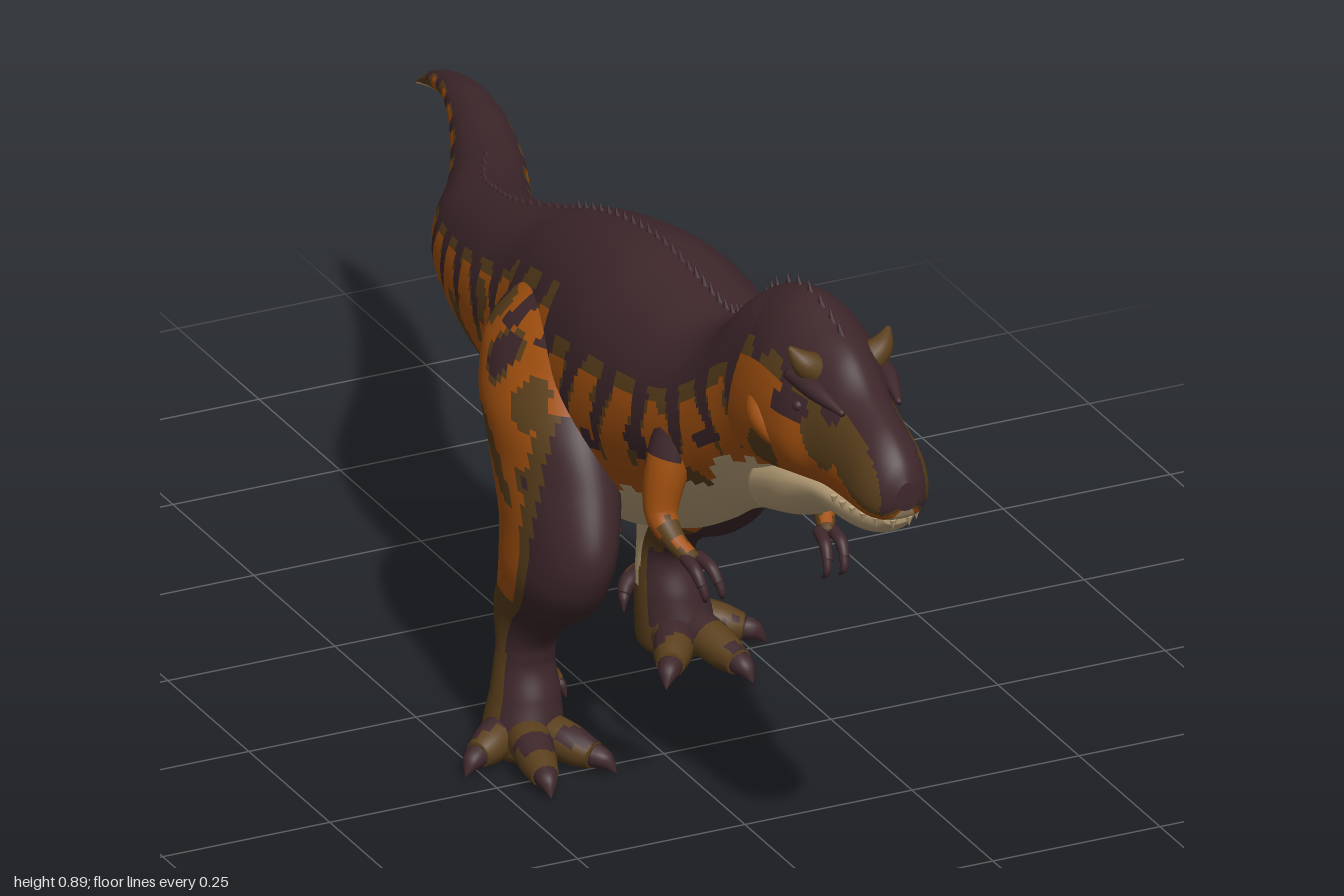
import * as THREE from 'three';

const mat = (name, color) => {
  const m = new THREE.MeshStandardMaterial({ color });
  m.name = name;
  return m;
};
const DARK = 0, ORANGE = 1, OLIVE = 2, BEIGE = 3;

// Smoothly sample a table of stations at u in 0..1, channel by channel
function sample(st, u) {
  const f = u * (st.length - 1), i = Math.min(Math.floor(f), st.length - 2), t = f - i;
  const g = k => st[Math.max(0, Math.min(st.length - 1, k))];
  return st[0].map((_, c) => {
    const [a, b, d, e] = [g(i - 1)[c], g(i)[c], g(i + 1)[c], g(i + 2)[c]];
    return b + 0.5 * t * (d - a + t * (2 * a - 5 * b + 4 * d - e + t * (3 * (b - d) + e - a)));
  });
}

// Skin a list of closed rings; pick(point, ring fraction, angle) chooses the colour of each face
function skin(name, rings, pick, mats) {
  const n = rings[0].length;
  const closed = r => {
    const c = r.reduce((s, p) => s.add(p), new THREE.Vector3()).divideScalar(n);
    return r.map(() => c.clone());
  };
  const all = [closed(rings[0]), ...rings, closed(rings[rings.length - 1])];
  const lists = mats.map(() => []);
  for (let i = 0; i < all.length - 1; i++) {
    for (let j = 0; j < n; j++) {
      const k = (j + 1) % n;
      const p = all[i][j].clone().add(all[i + 1][k]).multiplyScalar(0.5);
      const m = pick(p, i / (all.length - 1), (j + 0.5) / n * Math.PI * 2);
      const a = i * n + j, b = i * n + k;
      lists[m].push(a, b, a + n, b, b + n, a + n);
    }
  }
  const geo = new THREE.BufferGeometry().setFromPoints(all.flat());
  geo.setIndex(lists.flat());
  let start = 0;
  lists.forEach((l, m) => {
    if (l.length) geo.addGroup(start, l.length, m);
    start += l.length;
  });
  geo.computeVertexNormals();
  const mesh = new THREE.Mesh(geo, mats);
  mesh.name = name;
  return mesh;
}

const pow = (v, e) => Math.sign(v) * Math.abs(v) ** e;

// Cross-sections along z; station = [z, centre x, top, bottom, half width]
function loftRings(st, count, sides, mid, ex, exLow) {
  return Array.from({ length: count + 1 }, (_, i) => {
    const [z, cx, top, bot, hw] = sample(st, i / count);
    const my = bot + (top - bot) * mid;
    return Array.from({ length: sides }, (_, j) => {
      const a = j / sides * Math.PI * 2, s = Math.sin(a), c = Math.cos(a);
      return new THREE.Vector3(cx + hw * pow(s, c > 0 ? ex : exLow), my + (c > 0 ? top - my : my - bot) * c, z);
    });
  });
}

// Round tapering limb along points [x, y, z, radius]
function limbRings(pts, count = 14, sides = 14) {
  return Array.from({ length: count + 1 }, (_, i) => {
    const u = i / count, q = sample(pts, u);
    const a = sample(pts, Math.max(0, u - 0.01)), b = sample(pts, Math.min(1, u + 0.01));
    const t = new THREE.Vector3(b[0] - a[0], b[1] - a[1], b[2] - a[2]).normalize();
    const side = new THREE.Vector3(0.31, 0.17, 0.93).cross(t).normalize();
    const v = t.clone().cross(side);
    return Array.from({ length: sides }, (_, j) => {
      const w = j / sides * Math.PI * 2;
      return new THREE.Vector3(q[0], q[1], q[2]).addScaledVector(side, q[3] * Math.cos(w)).addScaledVector(v, q[3] * Math.sin(w));
    });
  });
}

const BODY = [
  [0.74, 0, 0.86, 0.58, 0.07], [0.68, 0, 0.872, 0.545, 0.083], [0.6, 0, 0.845, 0.515, 0.09],
  [0.53, 0, 0.78, 0.485, 0.104], [0.46, 0, 0.748, 0.44, 0.12], [0.36, 0, 0.755, 0.385, 0.135],
  [0.25, 0, 0.763, 0.34, 0.145], [0.14, 0, 0.75, 0.305, 0.14], [0.03, 0, 0.72, 0.31, 0.125],
  [-0.07, 0, 0.68, 0.345, 0.105], [-0.18, -0.005, 0.643, 0.372, 0.09], [-0.29, 0.012, 0.61, 0.39, 0.085],
  [-0.4, 0.045, 0.58, 0.41, 0.078], [-0.555, 0.125, 0.548, 0.437, 0.058], [-0.7, 0.182, 0.53, 0.458, 0.042],
  [-0.82, 0.212, 0.513, 0.472, 0.026], [-0.93, 0.23, 0.475, 0.446, 0.014], [-1, 0.236, 0.428, 0.424, 0.002]];

const HEAD = [
  [1, 0, 0.72, 0.68, 0.015], [0.985, 0, 0.748, 0.662, 0.038], [0.95, 0, 0.776, 0.652, 0.053],
  [0.88, 0, 0.808, 0.648, 0.058], [0.83, 0, 0.845, 0.645, 0.066], [0.78, 0, 0.864, 0.64, 0.086],
  [0.7, 0, 0.882, 0.62, 0.092], [0.62, 0, 0.858, 0.6, 0.086], [0.56, 0, 0.8, 0.6, 0.07]];

const JAW = [
  [0.975, 0, 0.668, 0.65, 0.022], [0.95, 0, 0.672, 0.628, 0.036], [0.9, 0, 0.67, 0.614, 0.045],
  [0.81, 0, 0.668, 0.605, 0.055], [0.73, 0, 0.66, 0.562, 0.068], [0.65, 0, 0.63, 0.535, 0.068]];

// Leg cross-sections from hip to sole: [y, x, z, half width, half depth]
const LEG = [
  [0.675, 0.05, 0.1, 0.02, 0.04], [0.61, 0.085, 0.1, 0.066, 0.108], [0.52, 0.122, 0.11, 0.074, 0.138],
  [0.44, 0.13, 0.115, 0.073, 0.14], [0.36, 0.143, 0.115, 0.065, 0.13], [0.3, 0.149, 0.085, 0.063, 0.115],
  [0.25, 0.149, 0.035, 0.056, 0.1], [0.205, 0.152, -0.03, 0.042, 0.075], [0.15, 0.156, -0.065, 0.039, 0.046],
  [0.09, 0.159, -0.06, 0.047, 0.052], [0.04, 0.165, -0.055, 0.054, 0.06], [0.015, 0.165, -0.055, 0.052, 0.058],
  [0.004, 0.165, -0.055, 0.044, 0.05]];

// Bands and large blotches shared by trunk, head and thighs
const band = p => Math.sin(p.z * 80 + 1.3 * Math.sin(p.y * 24 + p.z * 5));
const blotch = p => Math.sin(p.z * 30 + 2 * Math.sin(p.y * 15)) * Math.sin(p.y * 27 + p.z * 11 + 0.6);

export function createModel() {
  const mats = [mat('dark brown', 0x3e272b), mat('burnt orange', 0xa2500f), mat('olive brown', 0x5a3f1c),
    mat('belly beige', 0xbea57c)];
  const root = new THREE.Group();
  root.name = 'dinosaur';
  const add = (name, rings, pick) => root.add(skin(name, rings, pick, mats));
  const limb = (name, pts, pick, s = 1, dz = 0) =>
    add(name, limbRings(pts.map(([x, y, z, r]) => [x * s, y, z + dz, r])), typeof pick === 'function' ? pick : () => pick);

  // Neck, trunk and tail
  const bodyRings = loftRings(BODY, 230, 88, 0.55, 0.95, 1.5);
  add('body', bodyRings, (p, u) => {
    const [, , top, bot] = sample(BODY, u), h = (p.y - bot) / (top - bot), w = band(p);
    const collar = p.z > 0.48 && p.z < 0.6 ? 0.14 : 0, flank = p.z > 0.15 && p.x < 0 ? 0.12 : 0;
    const edge = (p.z > -0.05 ? 0.84 : 0.79) - 0.38 * Math.max(0, w - 0.1) - Math.max(collar, flank);
    const belly = p.z > 0.55 ? 0.27 : p.z > 0.2 ? 0.2 : 0.18;
    if (h < belly + 0.025 * w) return BEIGE;
    if (h > edge) return DARK;
    if (h > 0.36 && p.z > -0.1 && blotch(p) > 0.72) return DARK;
    return h > edge - 0.07 || blotch(p) < -0.7 || p.z < -0.9 ? OLIVE : ORANGE;
  });

  // Head and lower jaw
  const headRings = loftRings(HEAD, 80, 64, 0.36, 1.1, 0.7);
  add('head', headRings, (p, u) => {
    const [, , top, bot] = sample(HEAD, u), h = (p.y - bot) / (top - bot), w = band(p);
    if (h < 0.04) return BEIGE;
    if ((p.z < 0.88 && h > 0.72 + 0.06 * w) || (Math.abs(p.x) < 0.034 && h > 0.15)) return DARK;
    if (Math.hypot((p.z - 0.79) / 1.8, p.y - 0.765) < 0.02) return DARK;
    return p.z > 0.93 - 0.3 * (h - 0.3) || h > 0.64 || blotch(p) > 0.45 ? OLIVE : ORANGE;
  });
  add('lowerJaw', loftRings(JAW, 30, 32, 0.6, 0.8, 0.9), () => BEIGE);

  // Small spines down the middle of the skull, neck and back
  const spine = new THREE.ConeGeometry(0.009, 0.024, 6);
  const addSpine = (p, k) => {
    const m = new THREE.Mesh(spine, mats[DARK]);
    m.name = 'spine';
    m.position.set(p.x, p.y + 0.003, p.z);
    m.scale.set(0.6, k, 1.2);
    m.rotation.x = -0.35;
    root.add(m);
  };
  headRings.forEach((r, i) => { if (i > 44 && i < 72 && i % 4 === 0) addSpine(r[0], 1); });
  bodyRings.forEach((r, i) => { if (i > 26 && i < 172 && i % 3 === 0) addSpine(r[0], i < 70 ? 1 : i < 115 ? 0.7 : 0.45); });

  for (const s of [1, -1]) {
    const side = s > 0 ? 'left' : 'right';

    // Eye, brow and cheek
    const eye = new THREE.Mesh(new THREE.SphereGeometry(0.008, 16, 12), mats[DARK]);
    eye.name = side + 'Eye';
    eye.position.set(0.068 * s, 0.768, 0.805);
    root.add(eye);
    limb(side + 'BrowHorn', [[0.035, 0.81, 0.8, 0.024], [0.058, 0.828, 0.8, 0.018], [0.075, 0.85, 0.79, 0.003]], OLIVE, s);
    limb(side + 'BrowRidge', [[0.042, 0.785, 0.89, 0.004], [0.055, 0.797, 0.83, 0.013], [0.064, 0.8, 0.77, 0.01]], DARK, s);
    limb(side + 'Cheek', [[0.062, 0.75, 0.68, 0.014], [0.077, 0.72, 0.72, 0.024], [0.066, 0.685, 0.78, 0.008]], ORANGE, s);

    // Upper teeth
    for (let i = 0; i < 6; i++) {
      const tooth = new THREE.Mesh(new THREE.ConeGeometry(0.005, 0.015, 6), mats[BEIGE]);
      tooth.name = side + 'Tooth';
      tooth.position.set(s * [0.012, 0.03, 0.039, 0.044, 0.048, 0.05][i], 0.654, [0.982, 0.967, 0.945, 0.922, 0.9, 0.878][i]);
      tooth.rotation.x = Math.PI;
      root.add(tooth);
    }

    // Slim arm with two clawed fingers
    limb(side + 'Arm', [[0.08, 0.61, 0.47, 0.034], [0.103, 0.55, 0.475, 0.031], [0.115, 0.485, 0.478, 0.024],
      [0.112, 0.455, 0.51, 0.016], [0.1, 0.435, 0.548, 0.012]],
    p => (p.y > 0.57 ? DARK : p.y < 0.45 || band(p) < -0.6 ? OLIVE : ORANGE), s);
    for (const d of [-0.009, 0.009]) {
      limb(side + 'Finger', [[0.1 + d, 0.438, 0.54, 0.009], [0.097 + d * 1.3, 0.432, 0.572, 0.009], [0.094 + d * 1.4, 0.414, 0.588, 0.007]], DARK, s);
      limb(side + 'FingerClaw', [[0.094 + d * 1.4, 0.418, 0.586, 0.007], [0.091 + d * 1.4, 0.4, 0.592, 0.005], [0.088 + d * 1.4, 0.388, 0.582, 0.001]], DARK, s);
    }

    // Leg: the right one strides forward
    const shift = y => (s > 0 ? 0 : 0.21 * THREE.MathUtils.clamp((0.57 - y) / 0.42, 0, 1));
    const rings = Array.from({ length: 131 }, (_, i) => {
      const [y, x, z, rx, rz] = sample(LEG, i / 130);
      return Array.from({ length: 64 }, (_, j) => {
        const a = j / 64 * Math.PI * 2;
        return new THREE.Vector3(x * s + rx * Math.sin(a), y, z + shift(y) - rz * Math.cos(a));
      });
    });
    add(side + 'Leg', rings, (p, u, a) => {
      const out = Math.sin(a) * s, front = -Math.cos(a), y = p.y, b = blotch(p);
      // pale inner calf running down behind the shank
      if (y < 0.42 && y > 0.1 && out < -0.2 && front < 0.15 + (y - 0.25) * 0.8) return BEIGE;
      if (y < 0.38 && y > 0.23 && front < -0.75) return BEIGE;
      if (y < 0.16 + 0.01 * band(p)) return front > 0.35 && y > 0.05 ? DARK : OLIVE;
      // dark shin that narrows up the front of the thigh
      const shin = 0.3 + Math.max(0, y - 0.36) * 3.4;
      if (y < 0.53 && front > shin && out > -0.62) return DARK;
      if (y < 0.25 || (y < 0.53 && front > shin - 0.2 && out > 0)) return OLIVE;
      if (y > 0.38 && (b > 0.6 || (y > 0.6 && band(p) > 0.3))) return DARK;
      return b < -0.65 || (y > 0.38 && b > 0.45) ? OLIVE : ORANGE;
    });

    // Toes and claws
    const dz = shift(0);
    const toes = [
      [[0.165, 0.036, -0.06, 0.034], [0.18, 0.038, 0.0, 0.03], [0.19, 0.03, 0.045, 0.026], [0.196, 0.026, 0.078, 0.019], [0.202, 0.006, 0.108, 0.001]],
      [[0.17, 0.036, -0.06, 0.033], [0.205, 0.036, -0.045, 0.029], [0.23, 0.03, -0.03, 0.026], [0.25, 0.026, -0.02, 0.019], [0.276, 0.006, -0.003, 0.001]],
      [[0.16, 0.036, -0.06, 0.033], [0.138, 0.036, -0.005, 0.029], [0.122, 0.03, 0.025, 0.026], [0.108, 0.026, 0.047, 0.019], [0.088, 0.006, 0.075, 0.001]],
      [[0.14, 0.11, -0.08, 0.018], [0.12, 0.1, -0.088, 0.015], [0.107, 0.09, -0.086, 0.012], [0.1, 0.08, -0.08, 0.009], [0.094, 0.06, -0.068, 0.001]]];
    for (const t of toes) {
      limb(side + 'Toe', t.slice(0, 4), p => (p.y > 0.042 && band(p) > 0.1 ? DARK : OLIVE), s, dz);
      const [x, y, z, r] = t[3], e = t[4];
      limb(side + 'ToeClaw', [[x, y, z, r * 0.9], [(x + e[0]) / 2, y * 0.75 + e[1] * 0.25, (z + e[2]) / 2, r * 0.7], e], DARK, s, dz);
    }
  }
  return root;
}
